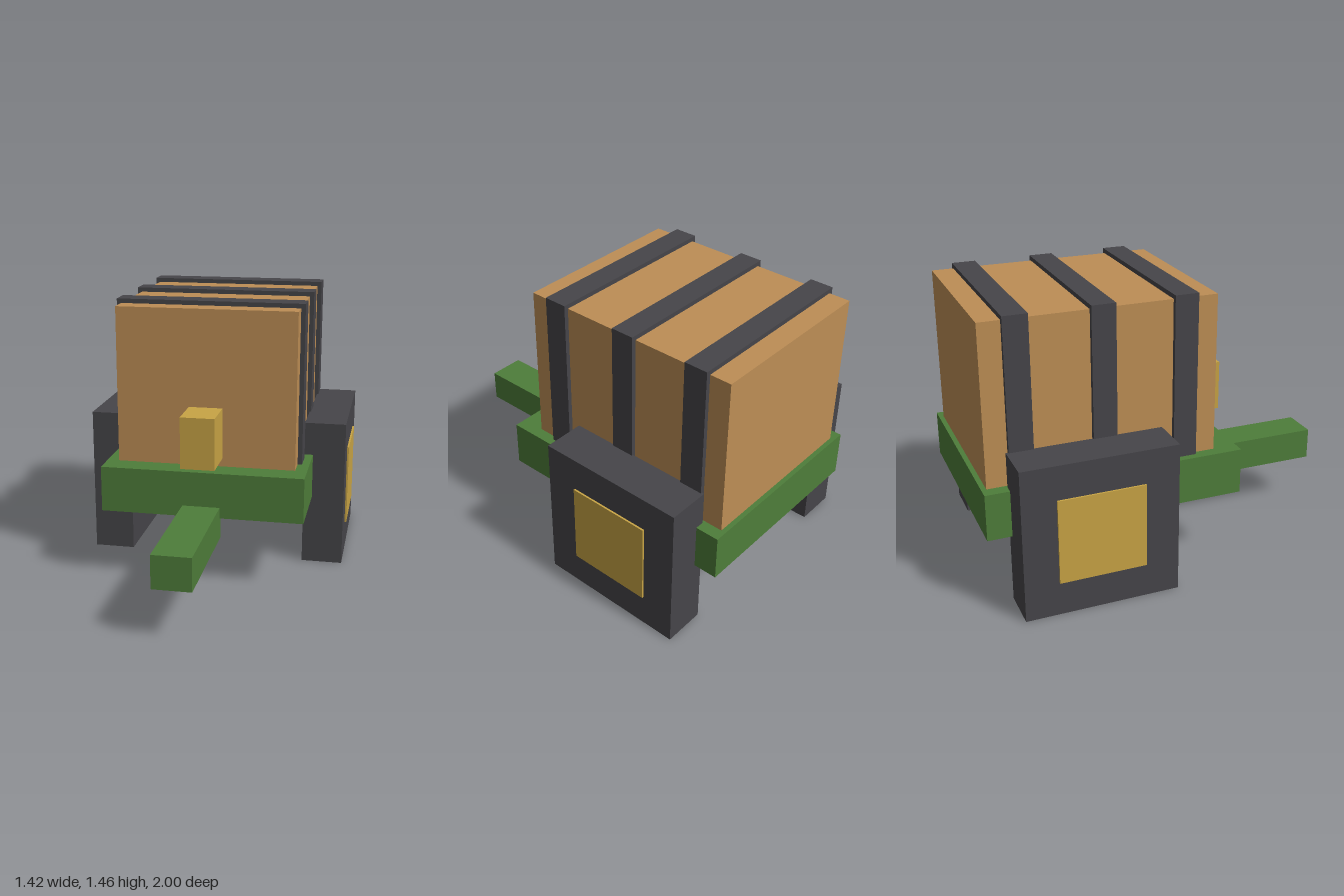
import * as THREE from 'three';

const material = (name, color) => {
  const m = new THREE.MeshStandardMaterial({ color });
  m.name = name;
  return m;
};

export function createModel() {
  const wood = material('wood', 0xbd8e55);
  const iron = material('darkIron', 0x464549);
  const green = material('greenPaint', 0x4e7d3a);
  const brass = material('brass', 0xc8a445);
  const model = new THREE.Group();
  model.name = 'tankCart';

  // Box given by its [min, max] range on each axis
  const box = (name, mat, [x0, x1], [y0, y1], [z0, z1]) => {
    const mesh = new THREE.Mesh(new THREE.BoxGeometry(x1 - x0, y1 - y0, z1 - z0), mat);
    mesh.position.set((x0 + x1) / 2, (y0 + y1) / 2, (z0 + z1) / 2);
    mesh.name = name;
    model.add(mesh);
  };

  // Cart bed and drawbar
  box('bed', green, [-0.53, 0.53], [0.375, 0.615], [-1, 0.335]);
  box('drawbar', green, [-0.098, 0.098], [0.262, 0.432], [0.31, 1]);

  // Wooden tank with its tap
  box('tank', wood, [-0.468, 0.468], [0.615, 1.435], [-0.975, 0.208]);
  box('tap', brass, [-0.088, 0.088], [0.658, 0.926], [0.208, 0.42]);

  // Bands around the tank
  for (const z of [0.037, -0.383, -0.803]) {
    box('band', iron, [-0.491, 0.491], [0.6, 1.458], [z - 0.061, z + 0.061]);
  }

  // Square wheels with hub plates
  for (const side of [-1, 1]) {
    const span = (a, b) => (side > 0 ? [a, b] : [-b, -a]);
    const label = side > 0 ? 'left' : 'right';
    box(label + 'Wheel', iron, span(0.483, 0.702), [0, 0.792], [-0.877, -0.086]);
    box(label + 'Hub', brass, span(0.702, 0.7115), [0.176, 0.616], [-0.704, -0.26]);
  }
  return model;
}
